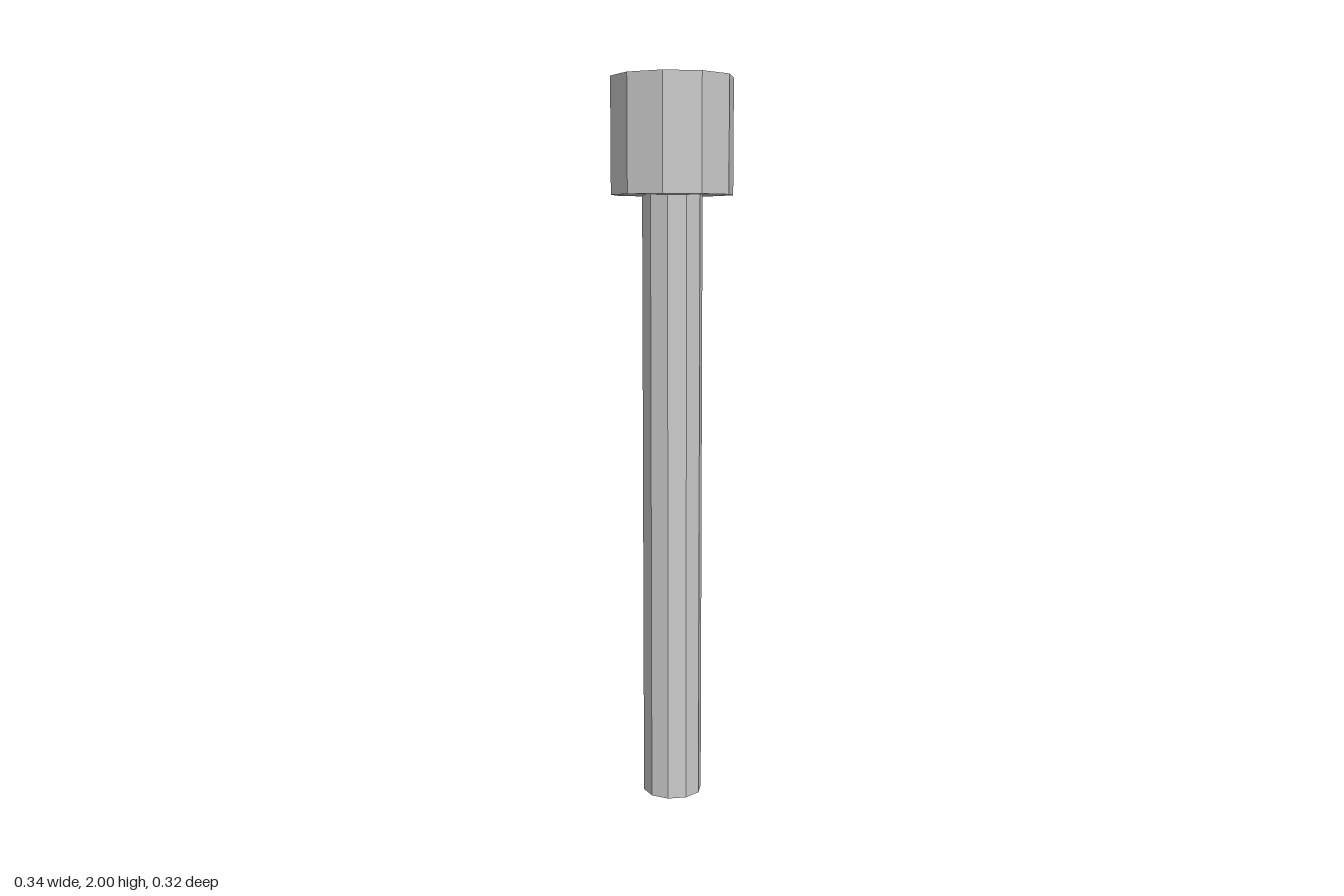
import * as THREE from 'three';

const SIDES = 10;

// Upright ten-sided prism with a corner on the x axis
function prism(name, radius, bottom, top, material) {
  const geometry = new THREE.CylinderGeometry(radius, radius, top - bottom, SIDES, 1, false, Math.PI / 2);
  const mesh = new THREE.Mesh(geometry, material);
  mesh.name = name;
  mesh.position.y = (bottom + top) / 2;
  return mesh;
}

export function createModel() {
  const material = new THREE.MeshStandardMaterial({ color: 0xcccccc, flatShading: true });
  const group = new THREE.Group();
  group.name = 'bolt';

  // Long shaft with a wider head on top
  group.add(prism('shaft', 0.083, 0, 1.688, material));
  group.add(prism('head', 0.168, 1.688, 2, material));
  return group;
}
